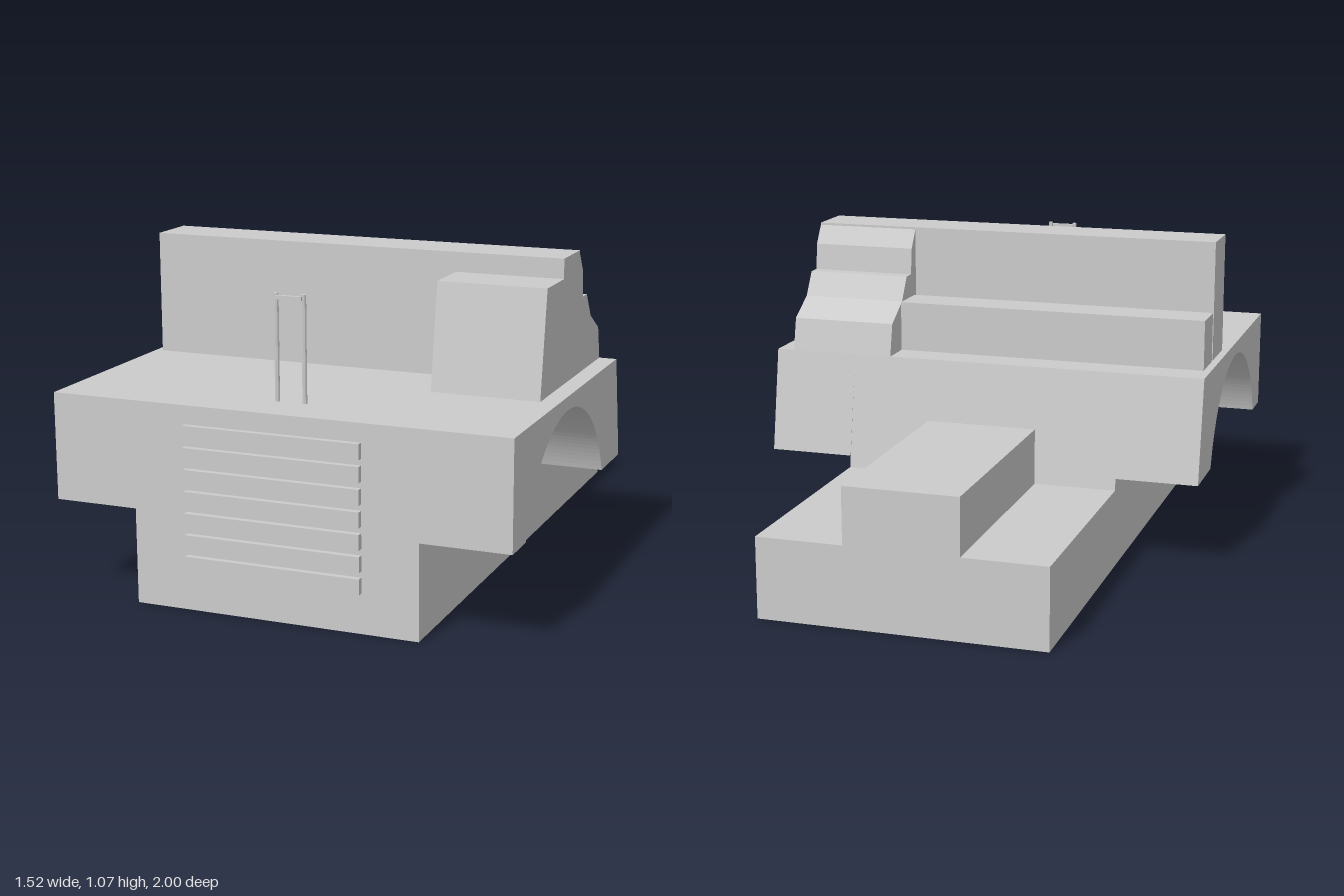
import * as THREE from 'three';

const material = new THREE.MeshStandardMaterial({ color: 0xcccccc, flatShading: true });

export function createModel() {
  const model = new THREE.Group();

  function add(name, geometry) {
    const mesh = new THREE.Mesh(geometry, material);
    mesh.name = name;
    model.add(mesh);
    return mesh;
  }

  // Box given by its limits on each axis
  function box(name, x0, x1, y0, y1, z0, z1) {
    const g = new THREE.BoxGeometry(x1 - x0, y1 - y0, z1 - z0);
    g.translate((x0 + x1) / 2, (y0 + y1) / 2, (z0 + z1) / 2);
    return add(name, g);
  }

  // Side profile in (z, y), extruded across from x0 to x1
  function profile(name, shape, x0, x1) {
    const g = new THREE.ExtrudeGeometry(shape, { depth: x1 - x0, bevelEnabled: false, curveSegments: 32 });
    g.rotateY(-Math.PI / 2);
    g.translate(x1, 0, 0);
    return add(name, g);
  }

  const outline = (points) => new THREE.Shape(points.map(([z, y]) => new THREE.Vector2(z, y)));

  // Chassis and central body with the sloping back
  profile('chassis', outline([
    [0.98, 0], [0.98, 0.66], [-0.134, 0.66], [-0.2, 0.27], [-1, 0.27], [-1, 0],
  ]), -0.48, 0.47);

  // Fenders with round wheel arches
  const fender = outline([[0.98, 0.31], [0.98, 0.66], [-0.134, 0.66], [-0.195, 0.31], [0.02, 0.31]]);
  const radius = 0.438;
  const start = Math.asin(0.133 / radius);
  fender.absarc(0.4375, 0.177, radius, Math.PI - start, start, true);
  profile('leftFender', fender, 0.47, 0.76);
  profile('rightFender', fender, -0.76, -0.48);

  // Raised block on the rear deck
  box('rearBlock', -0.2, 0.18, 0.27, 0.46, -1, -0.2);

  // Cross wall and the lower step behind it
  box('crossWall', -0.735, 0.7, 0.66, 1.07, 0.135, 0.31);
  box('rearStep', -0.735, 0.34, 0.66, 0.83, -0.02, 0.12);

  // Stepped cabin on the left side
  profile('cabin', outline([
    [0.54, 0.66], [0.485, 1.005], [0.31, 1.005], [0.31, 1.07], [0.14, 1.07], [0.095, 1],
    [0.085, 0.91], [0.04, 0.91], [-0.01, 0.83], [-0.11, 0.77], [-0.134, 0.66],
  ]), 0.34, 0.7);

  // Front grille slats
  for (let i = 0; i < 7; i++) {
    const y = 0.13 + i * 0.07;
    box('grilleSlat', -0.3, 0.285, y, y + 0.05, 0.98, 1);
  }

  // Upright handle on the hood
  for (const x of [-0.057, 0.035]) {
    const post = add('handlePost', new THREE.CylinderGeometry(0.008, 0.008, 0.34, 8));
    post.position.set(x, 0.83, 0.825);
  }
  box('handleBar', -0.055, 0.033, 0.982, 0.994, 0.827, 0.839);

  return model;
}
